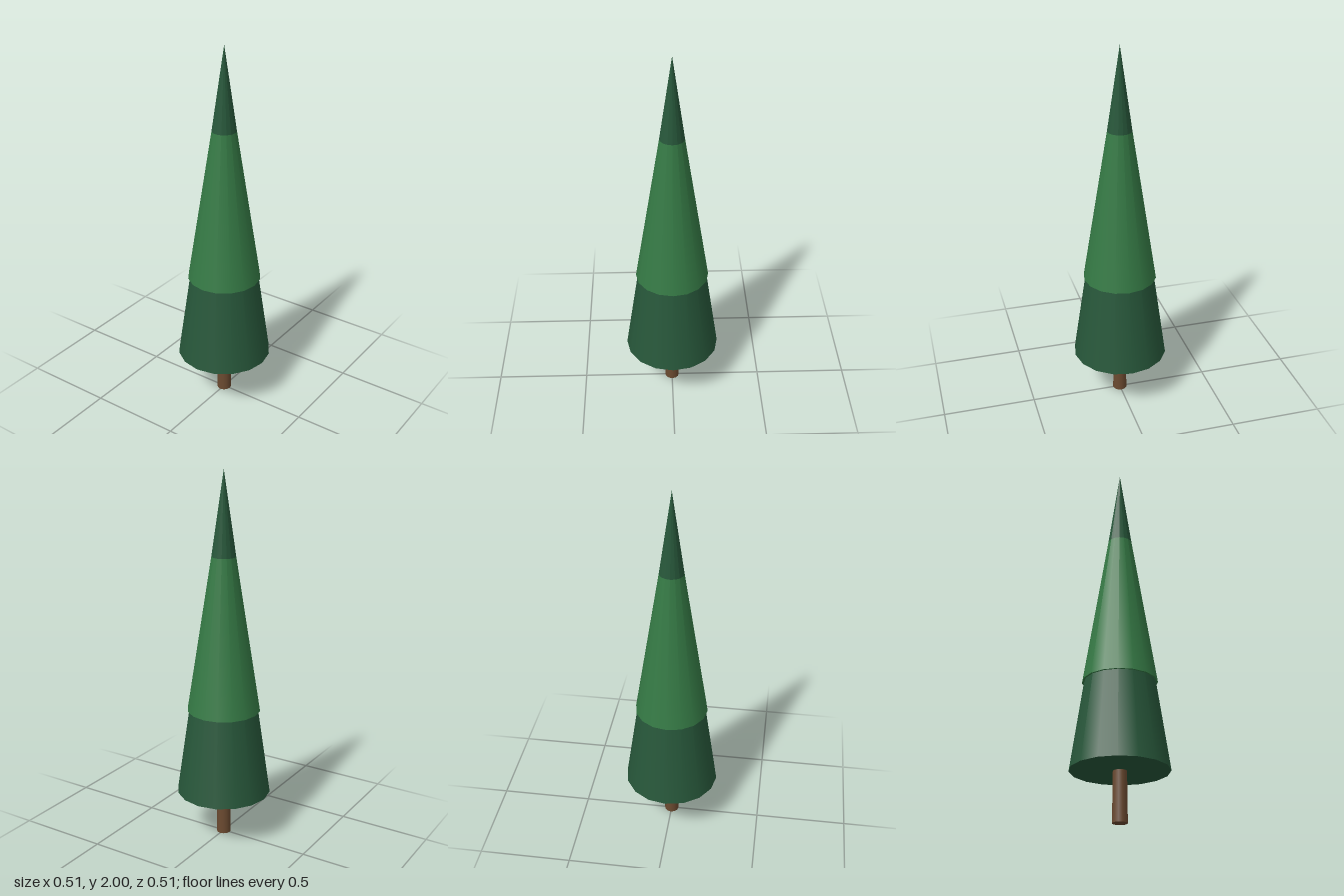
import * as THREE from 'three';

export function createModel() {
  const tree = new THREE.Group();
  tree.name = 'coniferTree';

  const add = (name, color, rTop, rBottom, y0, y1, sides) => {
    const mesh = new THREE.Mesh(
      new THREE.CylinderGeometry(rTop, rBottom, y1 - y0, sides),
      new THREE.MeshStandardMaterial({ color })
    );
    mesh.name = name;
    mesh.position.y = (y0 + y1) / 2;
    tree.add(mesh);
  };

  // Slightly tapered trunk, running up into the foliage
  add('trunk', 0x6b4a30, 0.035, 0.039, 0, 0.34, 12);
  // Tall dark cone: forms the skirt and the tip
  add('darkFoliage', 0x27573a, 0, 0.255, 0.26, 2, 16);
  // Lighter cone wrapped around the middle; the dark tip emerges near y = 1.56
  add('lightFoliage', 0x357a45, 0, 0.196, 0.73, 1.967, 16);

  return tree;
}
